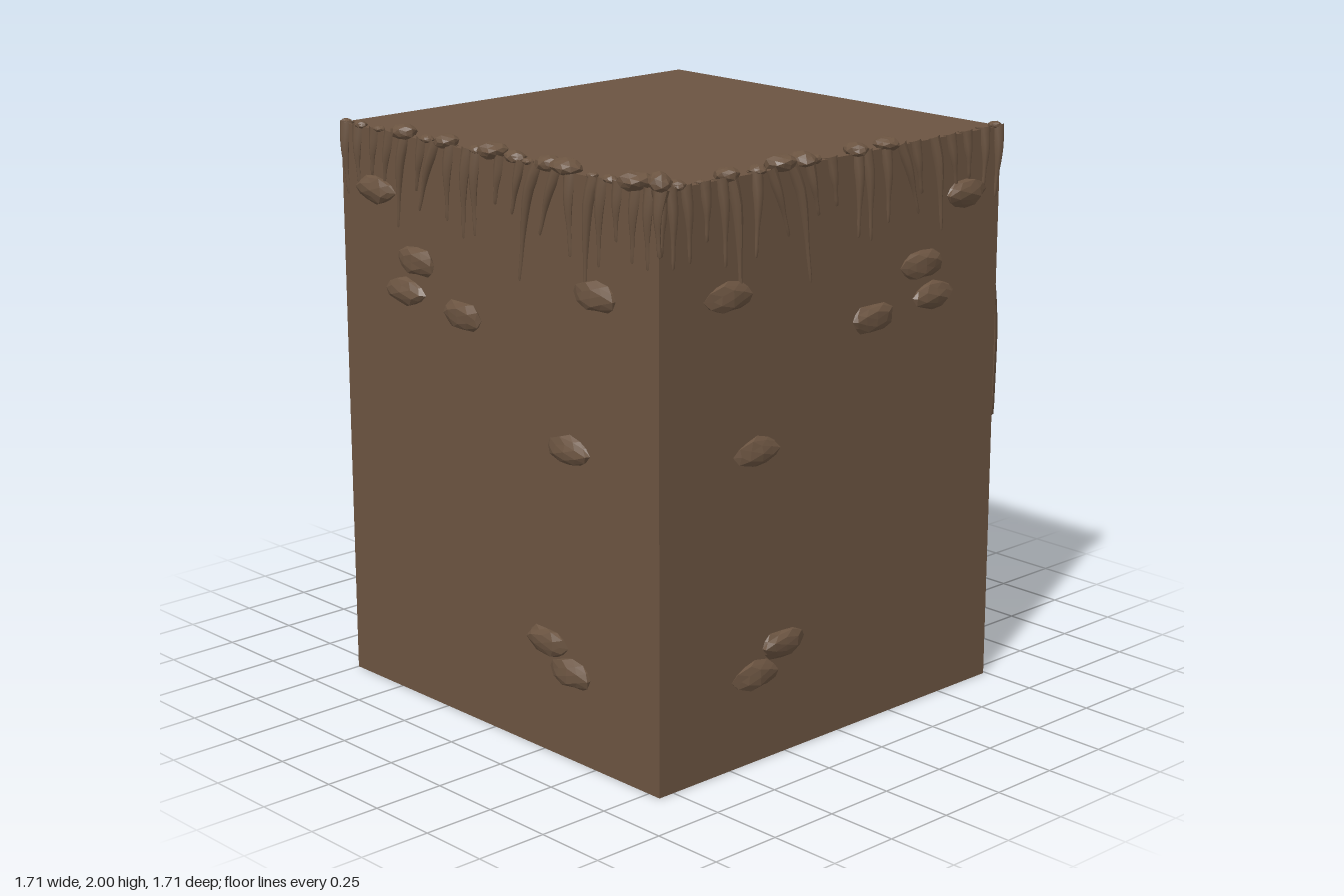
import * as THREE from 'three';

const bark = new THREE.MeshStandardMaterial({ color: 0x6b5441 });
bark.name = 'earthBrown';

// Tapered, round-ended tube through a few points
function strand(points, r0, r1, segments = 22) {
  const curve = new THREE.CatmullRomCurve3(points);
  const sides = 8;
  const geo = new THREE.TubeGeometry(curve, segments, 1, sides, false);
  const pos = geo.attributes.position;
  const v = new THREE.Vector3();
  for (let i = 0; i <= segments; i++) {
    const t = i / segments;
    const centre = curve.getPointAt(t);
    let r = r0 + (r1 - r0) * Math.min(1, t * 1.6);
    if (i === segments) r = 0.0005;
    else if (i === segments - 1) r *= 0.95;
    // pull the last rings together so the tip is blunt
    if (i === segments) centre.lerp(curve.getPointAt((segments - 1) / segments), 0.7);
    for (let j = 0; j <= sides; j++) {
      const k = i * (sides + 1) + j;
      v.fromBufferAttribute(pos, k).sub(curve.getPointAt(t)).multiplyScalar(r).add(centre);
      pos.setXYZ(k, v.x, v.y, v.z);
    }
  }
  geo.computeVertexNormals();
  return geo;
}

// Faceted, slightly irregular pebble
function pebble(rx, ry, rz, seed) {
  const geo = new THREE.IcosahedronGeometry(1, 1);
  const p = geo.attributes.position;
  for (let i = 0; i < p.count; i++) {
    const x = p.getX(i), y = p.getY(i), z = p.getZ(i);
    const k = 1 + 0.1 * Math.sin(x * 5.1 + y * 7.3 + z * 6.2 + seed * 2.7);
    p.setXYZ(i, x * k * rx, y * k * ry, z * k * rz);
  }
  geo.computeVertexNormals();
  return geo;
}

export function createModel() {
  const model = new THREE.Group();
  const add = (name, geo, x = 0, y = 0, z = 0) => {
    const m = new THREE.Mesh(geo, bark);
    m.name = name;
    m.position.set(x, y, z);
    model.add(m);
    return m;
  };

  // Two walls meeting at a corner, with a slab on top
  add('frontWall', new THREE.BoxGeometry(1.55, 1.94, 0.05), -0.035, 0.97, 0.775);
  add('sideWall', new THREE.BoxGeometry(0.05, 1.94, 1.5), -0.785, 0.97, 0.0);
  add('topSlab', new THREE.BoxGeometry(1.5, 0.07, 1.5), -0.01, 1.905, 0.0);

  // Wall coordinates (u along, y up, d away from the wall)
  const frontIn = (u, y, d) => new THREE.Vector3(u, y, 0.75 - d);
  const sideIn = (u, y, d) => new THREE.Vector3(-0.76 + d, y, u);
  const frontOut = (u, y, d) => new THREE.Vector3(u, y, 0.8 + d);
  const sideOut = (u, y, d) => new THREE.Vector3(-0.81 - d, y, -u);

  // Hanging roots inside, each a list of [u, y]
  const sideRoots = [
    [[0.70, 1.78], [0.64, 1.5], [0.58, 1.35], [0.575, 1.24]],
    [[0.58, 1.35], [0.56, 1.15], [0.49, 0.75], [0.50, 0.16]],
    [[0.49, 1.75], [0.42, 1.53], [0.40, 1.35], [0.40, 1.09]],
    [[0.34, 1.64], [0.32, 1.5], [0.34, 1.3], [0.28, 1.10]],
    [[0.25, 1.65], [0.22, 1.4], [0.24, 1.05], [0.16, 0.60]],
    [[0.15, 1.70], [0.15, 1.1], [0.11, 0.75], [0.04, 0.37]],
    [[0.06, 1.66], [0.05, 1.45], [-0.02, 1.2], [-0.04, 0.99]],
    [[-0.02, 1.80], [-0.05, 1.58], [-0.14, 1.35], [-0.12, 1.11]],
    [[-0.11, 1.66], [-0.18, 1.45], [-0.21, 1.2], [-0.21, 0.80]],
    [[-0.22, 1.65], [-0.25, 1.4], [-0.25, 1.1], [-0.33, 0.66]],
    [[-0.38, 1.68], [-0.34, 1.35], [-0.39, 1.05], [-0.47, 0.82]],
    [[-0.45, 1.70], [-0.46, 1.3], [-0.51, 1.0], [-0.58, 0.79]],
    [[-0.55, 1.74], [-0.55, 1.5], [-0.63, 1.3], [-0.66, 1.07]],
    [[-0.63, 1.78], [-0.69, 1.58], [-0.755, 1.4], [-0.745, 1.27]],
    [[-0.745, 1.32], [-0.77, 1.1], [-0.83, 0.7], [-0.83, 0.15]],
  ];
  const frontRoots = [
    [[0.735, 1.72], [0.78, 1.53], [0.83, 1.3], [0.82, 0.87]],
    [[0.66, 1.68], [0.69, 1.4], [0.73, 1.1], [0.74, 0.79]],
    [[0.56, 1.68], [0.58, 1.4], [0.62, 1.15], [0.61, 0.88]],
    [[0.47, 1.68], [0.47, 1.4], [0.42, 1.1], [0.41, 0.82]],
    [[0.40, 1.30], [0.43, 1.0], [0.48, 0.6], [0.51, 0.25]],
    [[0.33, 1.68], [0.36, 1.4], [0.31, 1.2], [0.33, 1.04]],
    [[0.20, 1.68], [0.22, 1.5], [0.17, 1.3], [0.18, 1.14]],
    [[0.08, 1.70], [0.10, 1.35], [0.05, 1.0], [0.06, 0.70]],
    [[-0.08, 1.78], [-0.03, 1.65], [0.03, 1.5], [0.03, 1.37]],
    [[-0.25, 1.76], [-0.28, 1.6], [-0.24, 1.45], [-0.23, 1.33]],
    [[-0.16, 1.55], [-0.15, 1.1], [-0.10, 0.6], [-0.08, 0.19]],
    [[-0.39, 1.62], [-0.40, 1.3], [-0.44, 1.0], [-0.43, 0.65]],
    [[-0.40, 1.10], [-0.37, 0.8], [-0.36, 0.5], [-0.32, 0.29]],
    [[-0.50, 1.68], [-0.53, 1.2], [-0.50, 0.7], [-0.53, 0.15]],
    [[-0.63, 1.70], [-0.60, 1.5], [-0.64, 1.3], [-0.62, 1.12]],
    [[-0.70, 1.65], [-0.68, 1.3], [-0.71, 0.95], [-0.69, 0.62]],
  ];
  const depths = [-0.005, 0.03, 0.05, 0.045];
  for (const [roots, place, name] of [[sideRoots, sideIn, 'sideRoot'], [frontRoots, frontIn, 'frontRoot']]) {
    roots.forEach((pts) => {
      const path = pts.map(([u, y], i) => place(u, y, depths[i]));
      add(name, strand(path, 0.01, 0.029));
    });
  }

  // Short tapering rootlets over the outer top edges: [u top, u bottom, y bottom]
  const rootlets = [
    [-0.80, -0.80, 1.72], [-0.76, -0.75, 1.67], [-0.70, -0.68, 1.68], [-0.62, -0.61, 1.74],
    [-0.55, -0.53, 1.64], [-0.51, -0.46, 1.50], [-0.40, -0.40, 1.65], [-0.34, -0.25, 1.70],
    [-0.25, -0.15, 1.52], [-0.17, -0.12, 1.75], [-0.07, -0.04, 1.77], [0.05, 0.06, 1.64],
    [0.09, 0.12, 1.62], [0.18, 0.20, 1.67], [0.25, 0.35, 1.68], [0.32, 0.36, 1.75],
    [0.41, 0.46, 1.60], [0.49, 0.53, 1.74], [0.57, 0.59, 1.77], [0.66, 0.66, 1.72], [0.73, 0.72, 1.68],
  ];
  // Flat stones set in the outer faces: [u, y]
  const stones = [[-0.52, 1.57], [0.57, 1.74], [0.36, 1.53], [0.42, 1.42], [0.13, 1.39],
    [-0.39, 1.05], [-0.27, 0.38], [-0.39, 0.30]];
  for (const [place, side] of [[frontOut, false], [sideOut, true]]) {
    for (const [u0, u1, y] of rootlets) {
      const um = u0 + (u1 - u0) * 0.35;
      const path = [place(u0, 1.945, -0.01), place(um, 1.86, 0.004), place(u1, y, -0.004)];
      add('rootlet', strand(path, 0.025, 0.007, 10));
    }
    stones.forEach(([u, y], i) => {
      const p = place(u, y, 0);
      const m = add('wallStone', pebble(0.097, 0.048, 0.028, i), p.x, p.y, p.z);
      if (side) m.rotation.y = -Math.PI / 2;
    });
  }

  // Pebbles along the two top edges: [position, radius]
  const frontPebbles = [[-0.73, 0.03], [-0.63, 0.015], [-0.52, 0.04], [-0.39, 0.03], [-0.29, 0.05],
    [-0.19, 0.045], [-0.15, 0.03], [0.05, 0.04], [0.19, 0.042], [0.72, 0.022]];
  const sidePebbles = [[-0.73, 0.02], [-0.65, 0.023], [-0.55, 0.02], [-0.42, 0.045], [-0.30, 0.025],
    [-0.2, 0.042], [-0.05, 0.025], [0.03, 0.05], [0.14, 0.036], [0.2, 0.02], [0.3, 0.045],
    [0.38, 0.052], [0.5, 0.02], [0.58, 0.025], [0.69, 0.055]];
  frontPebbles.forEach(([x, r], i) =>
    add('edgePebble', pebble(r, r * 0.55, r * 1.05, i), x, 1.937 + r * 0.35, 0.79));
  sidePebbles.forEach(([z, r], i) =>
    add('edgePebble', pebble(r * 0.9, r * 0.55, r * 1.1, i + 20), -0.805, 1.937 + r * 0.35, z));
  add('cornerPebble', pebble(0.038, 0.032, 0.035, 5), -0.805, 1.968, 0.8);

  return model;
}
